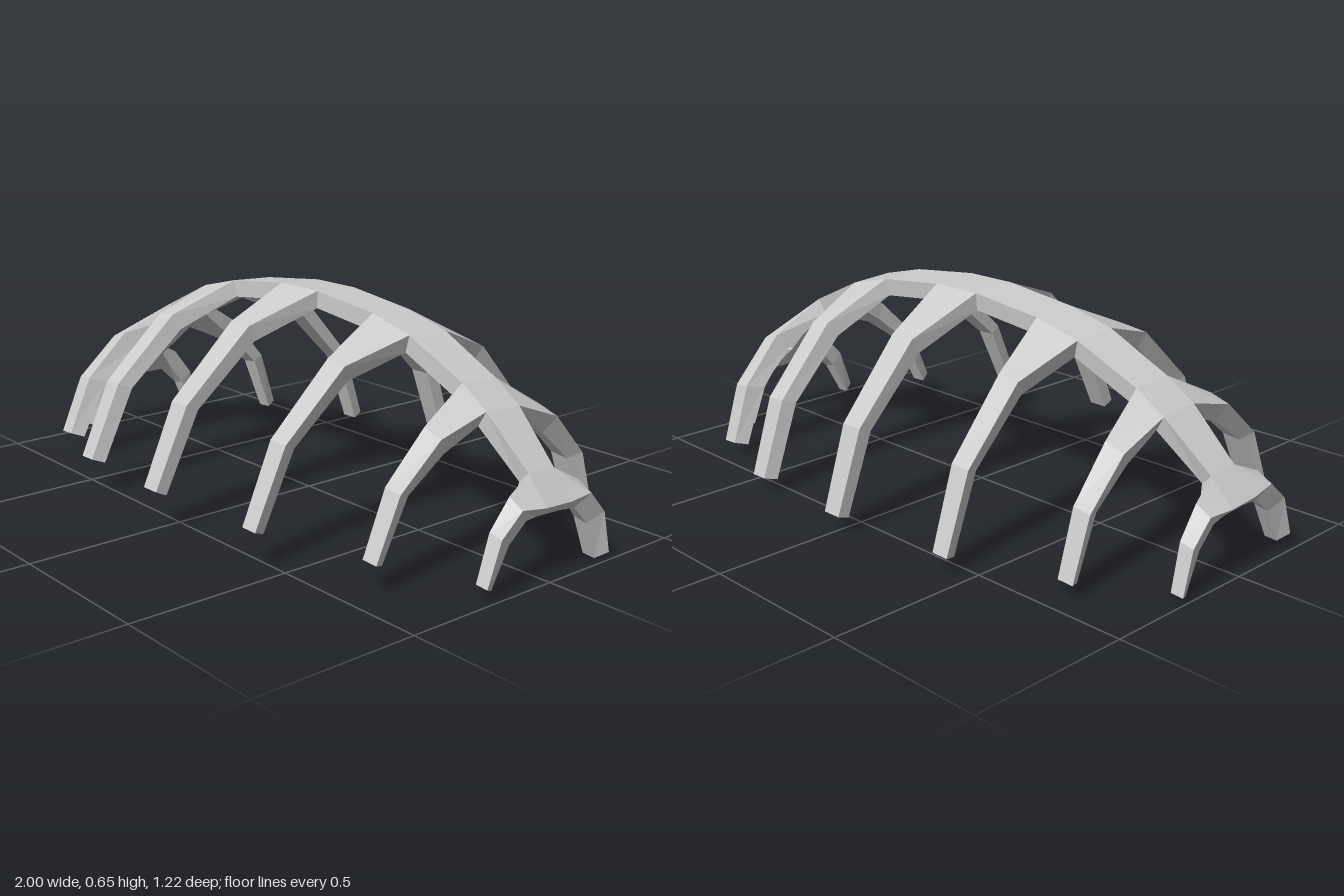
import * as THREE from 'three';

const material = new THREE.MeshStandardMaterial({ color: 0xcccccc, flatShading: true });

// Skins a list of four-cornered rings, with a cap at each end
function loft(rings, name) {
  const pos = [];
  const quad = (a, b, c, d) => pos.push(...a, ...b, ...c, ...a, ...c, ...d);
  for (let i = 0; i < rings.length - 1; i++) {
    const r = rings[i], n = rings[i + 1];
    for (let k = 0; k < 4; k++) {
      const j = (k + 1) % 4;
      quad(r[k], r[j], n[j], n[k]);
    }
  }
  quad(...[...rings[0]].reverse());
  quad(...rings[rings.length - 1]);
  const geometry = new THREE.BufferGeometry();
  geometry.setAttribute('position', new THREE.Float32BufferAttribute(pos, 3));
  geometry.computeVertexNormals();
  const mesh = new THREE.Mesh(geometry, material);
  mesh.name = name;
  return mesh;
}

// Half profiles from crest to foot as [z, y]: crest, knee, elbow, foot.
// x: crest and leg centres, half: half widths, slope: spine slope,
// shift: how far the inner face leans to the middle at crest and leg
const ribSpecs = [
  { x: [0, 0], half: [0.085, 0.043, 0.036, 0.031], slope: 0, shift: [0, 0],
    outer: [[0.075, 0.65], [0.30, 0.556], [0.514, 0.34], [0.612, 0.095]],
    inner: [[0.073, 0.597], [0.277, 0.508], [0.473, 0.322], [0.575, 0.08]] },
  { x: [0.405, 0.41], half: [0.077, 0.036, 0.032, 0.028], slope: 0.25, shift: [0.013, 0.013],
    outer: [[0.073, 0.603], [0.28, 0.515], [0.478, 0.315], [0.57, 0.083]],
    inner: [[0.071, 0.551], [0.255, 0.468], [0.436, 0.298], [0.53, 0.07]] },
  { x: [0.735, 0.75], half: [0.047, 0.032, 0.029, 0.026], slope: 0.65, shift: [0.027, 0.02],
    outer: [[0.067, 0.458], [0.235, 0.385], [0.37, 0.25], [0.44, 0.068]],
    inner: [[0.065, 0.412], [0.2, 0.337], [0.322, 0.235], [0.4, 0.055]] },
  { x: [0.965, 0.97], half: [0.035, 0.024, 0.022, 0.02], slope: 1.1, shift: [0.035, 0.02],
    outer: [[0.052, 0.253], [0.14, 0.235], [0.21, 0.16], [0.25, 0.03]],
    inner: [[0.045, 0.22], [0.098, 0.195], [0.158, 0.13], [0.212, 0.014]] },
];
const slopeFade = [1, 0.5, 0.2, 0.08];

// Rings of one rib, from the front foot over the crest to the back foot
function ribRings(spec, side) {
  const ring = (k, zSign) => {
    const crest = k === 0 ? 0 : 1;
    const corner = ([z, y], dx, shift) => [
      side * (spec.x[crest] - shift) + dx,
      y - side * spec.slope * slopeFade[k] * dx,
      z * zSign,
    ];
    const h = spec.half[k], s = spec.shift[crest];
    return [
      corner(spec.outer[k], -h, 0), corner(spec.outer[k], h, 0),
      corner(spec.inner[k], h, s), corner(spec.inner[k], -h, s),
    ];
  };
  return [3, 2, 1, 0].map(k => ring(k, 1)).concat([0, 1, 2, 3].map(k => ring(k, -1)));
}

export function createModel() {
  const model = new THREE.Group();
  model.name = 'ribCage';
  const cage = new THREE.Group();
  cage.name = 'tiltedCage';
  cage.rotation.set(-0.054, 0.0125, 0);
  model.add(cage);

  // Ribs from right to left
  const ribs = [];
  for (let i = -3; i <= 3; i++) ribs.push(ribRings(ribSpecs[Math.abs(i)], Math.sign(i)));
  ribs.forEach((rings, i) => cage.add(loft(rings, `rib${i + 1}`)));

  // Spine pieces joining the crests of neighbouring ribs
  for (let i = 0; i < ribs.length - 1; i++) {
    const [, , , f, b] = ribs[i];
    const [, , , nf, nb] = ribs[i + 1];
    cage.add(loft([
      [b[1], f[1], f[2], b[2]],
      [nb[0], nf[0], nf[3], nb[3]],
    ], `spine${i + 1}`));
  }
  return model;
}
